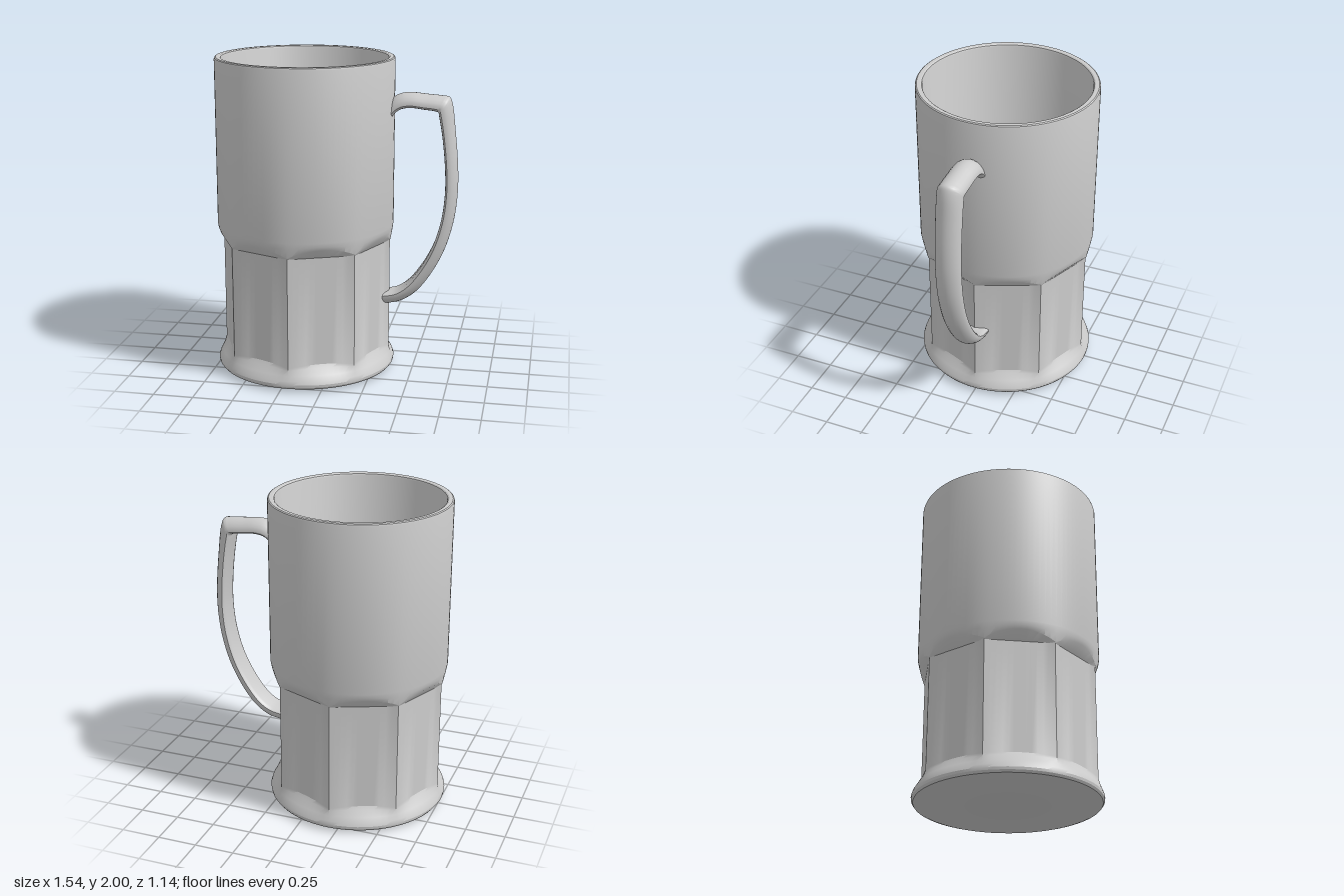
import * as THREE from 'three';
import { toCreasedNormals } from 'three/addons/utils/BufferGeometryUtils.js';

const SEG = 96;          // divides evenly into eight facets
const CORNER = 0.543;    // octagon corner radius
const APOTHEM = CORNER * Math.cos(Math.PI / 8);

// Skin a list of closed rings of Vector3
function loft(rings, crease) {
  const n = rings[0].length;
  const positions = rings.flat().flatMap((p) => [p.x, p.y, p.z]);
  const index = [];
  for (let i = 0; i < rings.length - 1; i++) {
    for (let j = 0; j < n; j++) {
      const a = i * n + j, b = i * n + (j + 1) % n, c = a + n, d = b + n;
      if (rings[i][0].distanceTo(rings[i][1]) > 1e-6) index.push(a, c, b);
      if (rings[i + 1][0].distanceTo(rings[i + 1][1]) > 1e-6) index.push(b, c, d);
    }
  }
  const geometry = new THREE.BufferGeometry();
  geometry.setAttribute('position', new THREE.Float32BufferAttribute(positions, 3));
  geometry.setIndex(index);
  return toCreasedNormals(geometry, crease);
}

// Radius of the octagon at an angle, corners on the axes
function octagon(angle) {
  const step = Math.PI / 4;
  const local = ((angle % step) + step) % step - step / 2;
  return APOTHEM / Math.cos(local);
}

function bodyGeometry() {
  // [radius, height, octagon share, scallop rise at facet centre]
  const rows = [
    // underside and flared foot
    [0, 0, 0, 0], [0.535, 0.012, 0, 0], [0.558, 0.02, 0, 0], [0.568, 0.034, 0, 0],
    [0.57, 0.05, 0, 0], [0.565, 0.07, 0.04, 0], [0.555, 0.1, 0.25, 0],
    [0.546, 0.13, 0.75, 0.01], [CORNER, 0.145, 1, 0.015],
    // facets, then scallops swelling into the round upper part
    [CORNER, 0.845, 1, 0], [0.547, 0.853, 0, 0.05], [0.555, 0.905, 0, 0.02],
    [0.56, 0.95, 0, 0],
    // rim
    [0.56, 1.985, 0, 0], [0.557, 1.995, 0, 0], [0.55, 2, 0, 0],
    [0.527, 2, 0, 0], [0.519, 1.995, 0, 0], [0.515, 1.985, 0, 0],
    // inside wall and floor
    [0.51, 1.0, 0, 0], [0.467, 0.88, 0, 0], [0.463, 0.24, 0, 0],
    [0.45, 0.18, 0, 0], [0.41, 0.145, 0, 0], [0.3, 0.13, 0, 0], [0, 0.12, 0, 0],
  ];
  const rings = rows.map(([r, y, share, rise]) =>
    Array.from({ length: SEG }, (_, j) => {
      const angle = j / SEG * Math.PI * 2;
      const oct = octagon(angle);
      const radius = THREE.MathUtils.lerp(r, oct, share);
      const lift = rise * (CORNER - oct) / (CORNER - APOTHEM);
      return new THREE.Vector3(radius * Math.cos(angle), y + lift, radius * Math.sin(angle));
    }));
  return loft(rings, 0.45);
}

function handleGeometry() {
  // Matching stations on the outer and inner edge: [outer x, outer y, inner x, inner y]
  const stations = [
    [0.335, 1.735, 0.335, 1.61], [0.365, 1.765, 0.37, 1.665], [0.41, 1.786, 0.41, 1.693],
    [0.47, 1.792, 0.47, 1.703], [0.56, 1.785, 0.55, 1.695], [0.66, 1.777, 0.62, 1.687],
    [0.7, 1.77, 0.638, 1.68], [0.718, 1.735, 0.645, 1.65], [0.742, 1.56, 0.668, 1.52],
    [0.763, 1.33, 0.688, 1.32], [0.764, 1.16, 0.69, 1.17], [0.742, 0.98, 0.67, 1.0],
    [0.69, 0.8, 0.62, 0.83], [0.61, 0.64, 0.545, 0.685], [0.52, 0.52, 0.46, 0.575],
    [0.43, 0.455, 0.395, 0.528], [0.36, 0.433, 0.345, 0.513], [0.29, 0.425, 0.29, 0.505],
  ];
  const curve = (k) => new THREE.CatmullRomCurve3(
    stations.map((s) => new THREE.Vector3(s[k], s[k + 1], 0)), false, 'centripetal');
  const outer = curve(0), inner = curve(2);

  // Domed section: [position from inner to outer edge, half width]
  const half = [[0, 0.055], [0.06, 0.072], [0.18, 0.082], [0.35, 0.081],
    [0.55, 0.073], [0.75, 0.058], [0.9, 0.038], [0.975, 0.018]];
  const section = [...half, [1, 0], ...half.slice().reverse().map(([u, w]) => [u, -w])];

  const count = 85;
  const rings = Array.from({ length: count + 1 }, (_, i) => {
    const a = inner.getPoint(i / count), b = outer.getPoint(i / count);
    return section.map(([u, w]) => {
      const p = a.clone().lerp(b, u);
      p.z = w;
      return p;
    });
  });
  return loft(rings, 0.75);
}

export function createModel() {
  const model = new THREE.Group();
  model.name = 'mug';
  const material = new THREE.MeshStandardMaterial({ color: 0xcccccc });

  const body = new THREE.Mesh(bodyGeometry(), material);
  body.name = 'body';
  body.position.x = -0.2;

  const handle = new THREE.Mesh(handleGeometry(), material);
  handle.name = 'handle';

  model.add(body, handle);
  return model;
}
